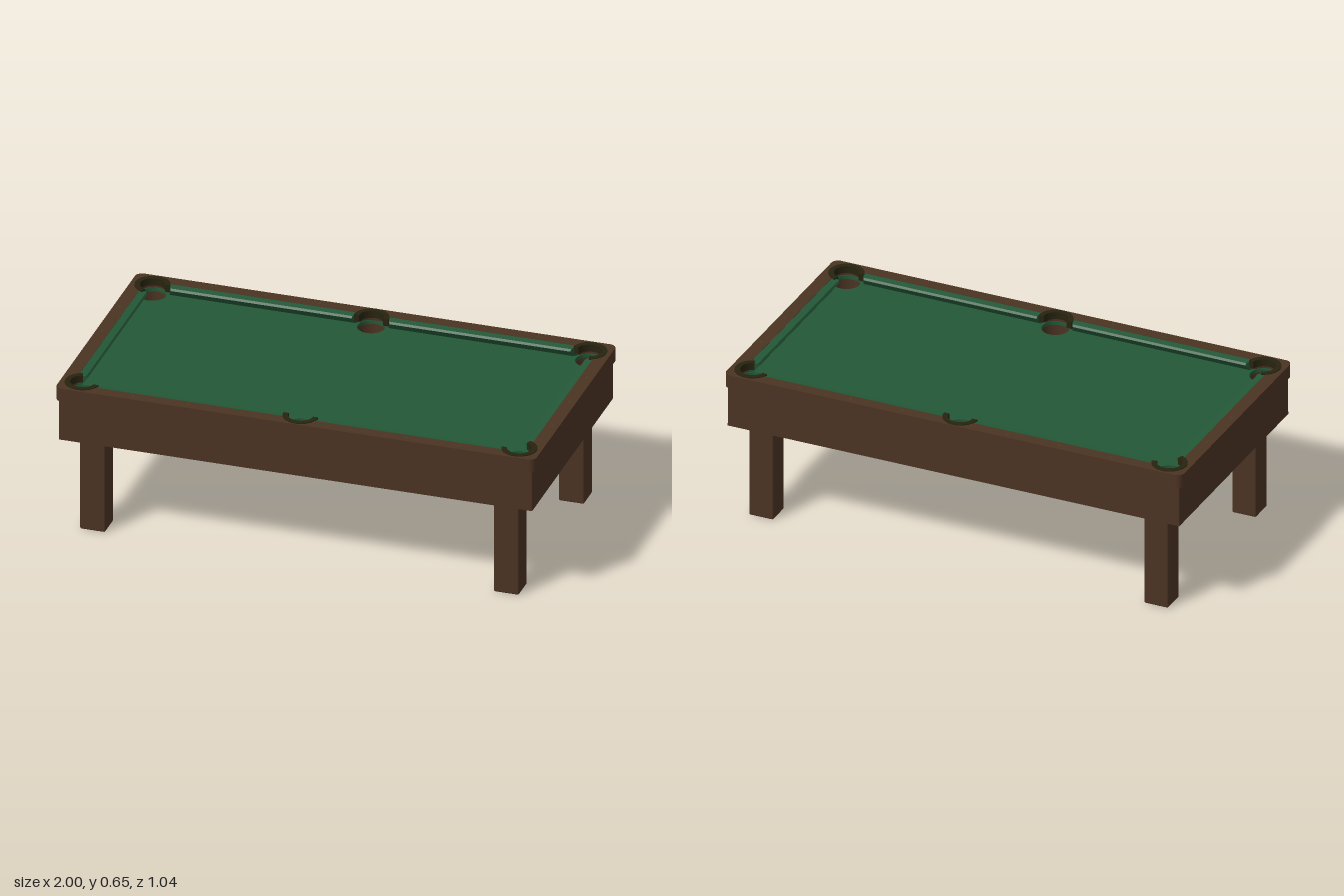
import * as THREE from 'three';
import { RoundedBoxGeometry } from 'three/addons/geometries/RoundedBoxGeometry.js';

const mat = (name, color) => new THREE.MeshStandardMaterial({ name, color });

// pocket centres (x, z) with the angle each one faces outwards and half its cut into the rail
const C = 0.835;
const POCKETS = [
  [0.91, 0.44, C], [0, 0.445, Math.PI / 2], [-0.91, 0.44, Math.PI - C],
  [-0.91, -0.44, Math.PI + C], [0, -0.445, -Math.PI / 2], [0.91, -0.44, -C],
].map(([x, z, angle]) => ({ x, z, angle, half: x ? 1.783 : 1.141 }));

// rectangle with rounded corners
function rect(w, d, r) {
  const s = new THREE.Shape();
  s.absarc(w - r, d - r, r, 0, Math.PI / 2);
  s.absarc(r - w, d - r, r, Math.PI / 2, Math.PI);
  s.absarc(r - w, r - d, r, Math.PI, Math.PI * 1.5);
  s.absarc(w - r, r - d, r, Math.PI * 1.5, Math.PI * 2);
  return s;
}

// flat slab rising from y0 to y1
function slab(shape, y0, y1) {
  const g = new THREE.ExtrudeGeometry(shape, { depth: y1 - y0, bevelEnabled: false, curveSegments: 20 });
  return g.rotateX(-Math.PI / 2).translate(0, y0, 0);
}

function punch(shape, r) {
  for (const p of POCKETS) shape.holes.push(new THREE.Path().absarc(p.x, p.z, r, 0, Math.PI * 2, true));
  return shape;
}

// rubber cushion with a sloping nose, an undercut and mitred ends
function cushionGeometry(length) {
  const profile = new THREE.Shape([[0, 0.6], [0.014, 0.6], [0.036, 0.63], [0.031, 0.639], [0, 0.642]]
    .map(([d, y]) => new THREE.Vector2(d, y)));
  const g = new THREE.ExtrudeGeometry(profile, { depth: length, bevelEnabled: false });
  g.translate(0, 0, -length / 2);
  const pos = g.attributes.position;
  for (let i = 0; i < pos.count; i++) {
    const z = pos.getZ(i);
    pos.setZ(i, z - Math.sign(z) * pos.getX(i) * 0.5);
  }
  g.computeVertexNormals();
  return g;
}

// C-shaped pocket collar, opening towards -x
function collarGeometry(half) {
  const s = new THREE.Shape();
  s.absarc(0, 0, 0.072, -half, half, false);
  s.absarc(0, 0, 0.05, half, -half, true);
  return slab(s, 0.615, 0.646);
}

export function createModel() {
  const group = new THREE.Group();
  const wood = mat('dark wood', 0x4b3322);
  const felt = mat('green felt', 0x235837);
  const leather = mat('dark pocket leather', 0x272310);
  const inlay = mat('rail inlay', 0x48461f);

  const add = (name, geometry, material, x = 0, y = 0, z = 0, turn = 0) => {
    const m = new THREE.Mesh(geometry, material);
    m.name = name;
    m.position.set(x, y, z);
    m.rotation.y = turn;
    group.add(m);
    return m;
  };

  // legs
  const leg = new RoundedBoxGeometry(0.105, 0.415, 0.105, 2, 0.006);
  for (const x of [-1, 1]) for (const z of [-1, 1]) add('leg', leg, wood, x * 0.862, 0.2075, z * 0.412);

  // cabinet with pocket wells, closed underneath
  add('cabinetBase', new THREE.BoxGeometry(1.972, 0.01, 1.024), wood, 0, 0.415, 0);
  add('cabinet', slab(punch(rect(0.986, 0.512, 0.003), 0.056), 0.42, 0.586), wood);

  // playing surface
  add('bed', slab(punch(rect(0.975, 0.5, 0.003), 0.056), 0.585, 0.601), felt);

  // top rail, its opening bulging around each pocket
  const rail = rect(1, 0.522, 0.03);
  const opening = new THREE.Path();
  for (const p of POCKETS) opening.absarc(p.x, p.z, 0.06, p.angle - p.half, p.angle + p.half, false);
  rail.holes.push(opening);
  add('rail', slab(rail, 0.585, 0.643), wood);

  // cushions: two on each long side, one at each end
  const longCushion = cushionGeometry(0.79);
  const endCushion = cushionGeometry(0.79);
  for (const s of [-1, 1]) {
    for (const x of [-0.456, 0.456]) add('sideCushion', longCushion, felt, x, 0, s * 0.471, s * Math.PI / 2);
    add('endCushion', endCushion, felt, s * 0.946, 0, 0, s > 0 ? Math.PI : 0);
  }

  // pocket collars and floors
  const cornerCollar = collarGeometry(2.1);
  const middleCollar = collarGeometry(1.6);
  const floor = new THREE.CylinderGeometry(0.057, 0.057, 0.006, 32);
  for (const p of POCKETS) {
    add('pocketCollar', p.x ? cornerCollar : middleCollar, leather, p.x, 0, p.z, -p.angle);
    add('pocketFloor', floor, leather, p.x, 0.5, p.z);
  }

  // sight inlays along the rail
  const sight = new THREE.CylinderGeometry(0.006, 0.006, 0.002, 4);
  for (const s of [-1, 1]) {
    for (const x of [-0.68, -0.455, -0.23, 0.23, 0.455, 0.68]) add('sight', sight, inlay, x, 0.643, s * 0.497);
    for (const z of [-0.22, 0, 0.22]) add('sight', sight, inlay, s * 0.974, 0.643, z);
  }
  return group;
}
